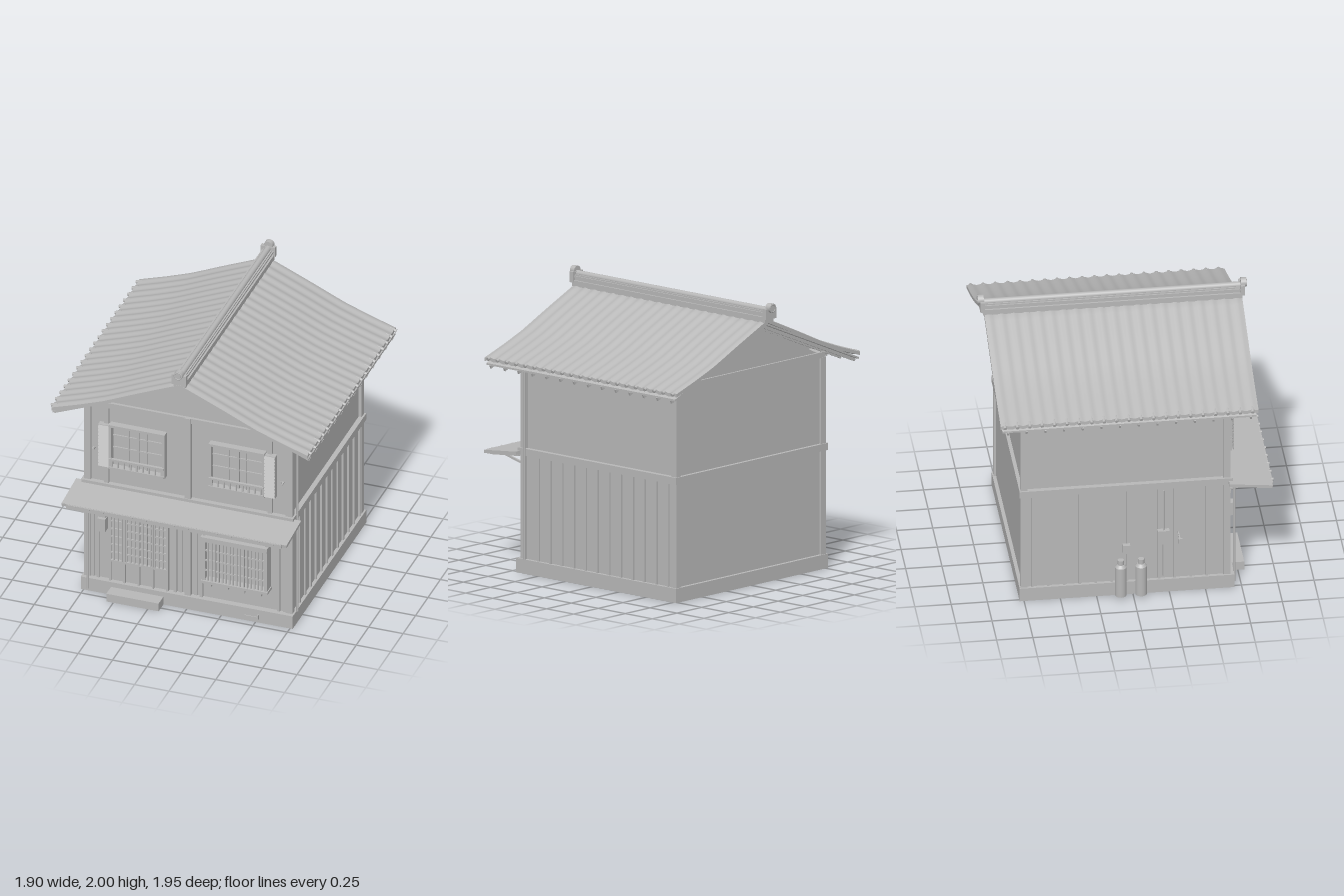
import * as THREE from 'three';

export function createModel() {
  const house = new THREE.Group();
  house.name = 'townhouse';
  const mat = new THREE.MeshStandardMaterial({ color: 0xb8b8b8 });
  mat.name = 'plain grey';

  const add = (name, geo, x = 0, y = 0, z = 0, parent = house) => {
    const m = new THREE.Mesh(geo, mat);
    m.name = name;
    m.position.set(x, y, z);
    parent.add(m);
    return m;
  };
  // box given by its limits on each axis
  const box = (name, x0, x1, y0, y1, z0, z1, parent) => add(name,
    new THREE.BoxGeometry(x1 - x0, y1 - y0, z1 - z0), (x0 + x1) / 2, (y0 + y1) / 2, (z0 + z1) / 2, parent);
  const cyl = (name, r, h, x, y, z, sides = 16, rTop = r) =>
    add(name, new THREE.CylinderGeometry(rTop, r, h, sides), x, y, z);
  // square bar between two points that share the same x or the same z
  const bar = (name, a, b, w, h) => {
    const p = new THREE.Vector3(...a), q = new THREE.Vector3(...b);
    const m = add(name, new THREE.BoxGeometry(w, h, p.distanceTo(q)));
    m.position.copy(p).add(q).multiplyScalar(0.5);
    m.lookAt(q);
    return m;
  };

  // Foundation and walls
  box('foundation', -0.77, 0.77, 0, 0.1, -0.78, 0.7);
  box('walls', -0.735, 0.735, 0.1, 1.5, -0.755, 0.655);
  const gable = new THREE.Shape([[-0.735, 1.49], [0.735, 1.49], [0, 1.835]].map(p => new THREE.Vector2(...p)));
  add('gableWalls', new THREE.ExtrudeGeometry(gable, { depth: 1.41, bevelEnabled: false }), 0, 0, -0.755);

  // Timber frame
  box('beltBeam', -0.77, 0.77, 0.825, 0.875, -0.78, 0.69);
  box('topBeam', -0.757, 0.757, 1.475, 1.515, -0.77, 0.675);
  for (const s of [-1, 1]) {
    for (const z of [-0.748, 0.648]) box('cornerPost', s * 0.733 - 0.024, s * 0.733 + 0.024, 0.1, 1.48, z - 0.024, z + 0.024);
    box('upperPost', s * 0.593 - 0.016, s * 0.593 + 0.016, 0.875, 1.48, 0.65, 0.675);
    box('lowerPost', s * 0.655 - 0.01, s * 0.655 + 0.01, 0.1, 0.825, 0.65, 0.67);
    box('doorPost', s * 0.095 - 0.01, s * 0.095 + 0.01, 0.1, 0.825, 0.65, 0.675);
    // board and batten cladding on the sides
    box('sideCladding', s * 0.74 - 0.005, s * 0.74 + 0.005, 0.1, 0.825, -0.73, 0.63);
    for (let i = 0; i < 12; i++) {
      const z = -0.69 + i * 0.109;
      box('batten', s * 0.75 - 0.008, s * 0.75 + 0.008, 0.1, 0.825, z - 0.008, z + 0.008);
    }
  }
  box('centrePost', -0.022, 0.022, 0.1, 1.515, 0.65, 0.685);

  // Main roof: concave slopes with rolled tiles
  const profile = [[0, 1.887], [0.33, 1.744], [0.54, 1.648], [0.725, 1.58], [0.94, 1.51]];
  const roofY = x => {
    const i = Math.max(1, profile.findIndex(p => p[0] >= x));
    const [a, b] = [profile[i - 1], profile[i]];
    return a[1] + (b[1] - a[1]) * (x - a[0]) / (b[0] - a[0]);
  };
  const pitch = 0.0853, zFirst = -0.902;
  const tiles = new THREE.BoxGeometry(1.86, 0.024, 1.777, 20, 1, 126);
  tiles.translate(0, 0, -0.0425);
  const pos = tiles.attributes.position;
  for (let i = 0; i < pos.count; i++) {
    const wave = 0.005 * Math.cos((pos.getZ(i) - zFirst) / pitch * Math.PI * 2);
    pos.setY(i, roofY(Math.abs(pos.getX(i))) + pos.getY(i) - 0.014 + wave);
  }
  tiles.computeVertexNormals();
  add('roofTiles', tiles);
  const deck = new THREE.Shape([[0, 1.855], [-0.93, 1.47], [-0.93, 1.457], [0, 1.84], [0.93, 1.457], [0.93, 1.47]]
    .map(p => new THREE.Vector2(...p)));
  add('roofDeck', new THREE.ExtrudeGeometry(deck, { depth: 1.75, bevelEnabled: false }), 0, 0, -0.92);
  for (const s of [-1, 1]) {
    for (let i = 0; i < 21; i++) {
      const cap = cyl('eaveTileEnd', 0.012, 0.05, s * 0.922, 1.508, zFirst + i * pitch, 10);
      cap.rotation.z = s * (Math.PI / 2 - 0.32);
    }
    for (let i = 0; i < 14; i++) {
      const z = 0.793 - i * 0.1287;
      bar('rafter', [s * 0.93, 1.447, z], [0, 1.828, z], 0.013, 0.024);
    }
  }

  // Ridge with end ornaments
  box('ridgeBase', -0.045, 0.045, 1.865, 1.905, -0.94, 0.845);
  box('ridgeCourse', -0.032, 0.032, 1.9, 1.945, -0.94, 0.845);
  box('ridgeLip', -0.042, 0.042, 1.925, 1.936, -0.94, 0.845);
  cyl('ridgeRoll', 0.022, 1.8, 0, 1.948, -0.0475).rotation.x = Math.PI / 2;
  for (const [z, s] of [[0.848, 1], [-0.943, -1]]) {
    box('ridgeEnd', -0.053, 0.053, 1.89, 1.965, z - 0.016, z + 0.016);
    cyl('ridgeDisc', 0.033, 0.04, 0, 1.967, z + s * 0.01, 20).rotation.x = Math.PI / 2;
    const ring = add('ridgeDiscRim', new THREE.TorusGeometry(0.026, 0.005, 8, 20), 0, 1.967, z + s * 0.03);
    ring.scale.z = 0.5;
  }

  // Front canopy with tile rolls and struts
  bar('canopyRoof', [0, 0.845, 0.66], [0, 0.815, 0.955], 1.635, 0.022);
  bar('canopyTrim', [0, 0.825, 0.67], [0, 0.8, 0.935], 1.56, 0.014);
  box('canopyEdge', -0.78, 0.78, 0.795, 0.825, 0.945, 0.965);
  for (let i = 0; i < 15; i++) {
    const x = (i - 7) * 0.103;
    cyl('canopyTileEnd', 0.01, 0.04, x, 0.817, 0.953, 10).rotation.x = Math.PI / 2;
  }
  for (const x of [-0.67, -0.22, 0.22, 0.67]) {
    bar('canopyStrut', [x, 0.73, 0.67], [x, 0.797, 0.95], 0.016, 0.014);
    bar('canopyArm', [x, 0.81, 0.66], [x, 0.79, 0.955], 0.016, 0.016);
  }

  // Upper windows with railing and louvred shutter, mirrored
  const frame = (x0, x1, y0, y1, z0, z1, t) => {
    box('frameTop', x0, x1, y1 - t, y1, z0, z1);
    box('frameBottom', x0, x1, y0, y0 + t, z0, z1);
    box('frameSide', x0, x0 + t, y0, y1, z0, z1);
    box('frameSide', x1 - t, x1, y0, y1, z0, z1);
  };
  for (const s of [-1, 1]) {
    const cx = s * 0.362;
    box('windowPane', cx - 0.195, cx + 0.195, 1.02, 1.35, 0.65, 0.662);
    frame(cx - 0.203, cx + 0.203, 1.01, 1.36, 0.65, 0.705, 0.018);
    for (const dx of [-0.07, 0.06]) box('windowBar', cx + dx - 0.004, cx + dx + 0.004, 1.02, 1.35, 0.66, 0.672);
    box('windowMeetingBar', cx - 0.01, cx + 0.01, 1.02, 1.35, 0.66, 0.677);
    for (const y of [1.17, 1.265]) box('windowCrossBar', cx - 0.195, cx + 0.195, y - 0.004, y + 0.004, 0.66, 0.672);
    box('railing', cx - 0.2, cx + 0.2, 1.082, 1.096, 0.695, 0.715);
    box('railingFoot', cx - 0.2, cx + 0.2, 1.018, 1.03, 0.695, 0.715);
    for (let i = 0; i < 9; i++) {
      const x = cx + (i - 4) * 0.045;
      box('baluster', x - 0.005, x + 0.005, 1.02, 1.09, 0.7, 0.71);
    }
    box('shutter', s * 0.603 - 0.04, s * 0.603 + 0.04, 1.02, 1.35, 0.66, 0.7);
    for (let i = 0; i < 12; i++) {
      const slat = add('shutterSlat', new THREE.BoxGeometry(0.076, 0.026, 0.006), s * 0.603, 1.035 + i * 0.0272, 0.705);
      slat.rotation.x = -0.45;
    }
    box('wallHook', s * 0.685 - 0.009, s * 0.685 + 0.009, 1.13, 1.138, 0.65, 0.69);
    box('wallHookTip', s * 0.679 - 0.003, s * 0.679 + 0.003, 1.13, 1.155, 0.682, 0.69);
  }

  // Lattice of upright and cross bars
  const lattice = (x0, x1, y0, y1, z, count, rows) => {
    for (let i = 0; i <= count; i++) {
      const x = x0 + (x1 - x0) * i / count;
      box('latticeUpright', x - 0.005, x + 0.005, y0, y1, z - 0.006, z + 0.006);
    }
    for (let j = 1; j <= rows; j++) {
      const y = y0 + (y1 - y0) * j / (rows + 1);
      box('latticeRail', x0, x1, y - 0.005, y + 0.005, z - 0.01, z + 0.002);
    }
  };

  // Sliding entrance doors and step
  box('doorPanel', -0.57, -0.145, 0.1, 0.64, 0.65, 0.664);
  box('doorLintel', -0.58, -0.138, 0.637, 0.657, 0.65, 0.7);
  lattice(-0.565, -0.15, 0.265, 0.64, 0.678, 14, 5);
  box('doorMidRail', -0.57, -0.145, 0.255, 0.27, 0.655, 0.685);
  for (let i = 0; i <= 4; i++) {
    const x = -0.565 + i * 0.104;
    box('doorStile', x - 0.007, x + 0.007, 0.1, 0.64, 0.655, 0.684);
  }
  box('doorStep', -0.55, -0.17, 0, 0.062, 0.69, 0.795);

  // Latticed bay window
  box('bayPane', 0.135, 0.585, 0.27, 0.61, 0.65, 0.675);
  box('baySideWall', 0.125, 0.14, 0.26, 0.61, 0.65, 0.735);
  box('baySideWall', 0.58, 0.595, 0.26, 0.61, 0.65, 0.735);
  box('bayRoof', 0.118, 0.602, 0.608, 0.632, 0.65, 0.752);
  box('bayBoard', 0.125, 0.595, 0.632, 0.65, 0.65, 0.68);
  box('bayTopRail', 0.125, 0.595, 0.59, 0.608, 0.72, 0.742);
  box('baySill', 0.118, 0.602, 0.26, 0.28, 0.65, 0.745);
  lattice(0.14, 0.58, 0.28, 0.595, 0.728, 17, 3);
  for (const x of [0.18, 0.302, 0.424, 0.545]) box('bayBracket', x - 0.007, x + 0.007, 0.23, 0.262, 0.65, 0.73);

  // Wall planks, lamp, pipes and vent on the front
  for (const x of [-0.06, 0.05, 0.7, -0.7]) box('wallPlank', x - 0.012, x + 0.012, 0.1, 0.82, 0.65, 0.664);
  box('lamp', -0.645, -0.588, 0.5, 0.6, 0.66, 0.715);
  box('lampBack', -0.64, -0.593, 0.6, 0.64, 0.655, 0.69);
  cyl('frontPipe', 0.009, 0.78, -0.718, 0.41, 0.705, 10);
  cyl('downpipe', 0.008, 1.4, 0.775, 0.8, 0.62, 10);
  box('vent', 0.42, 0.525, 0.035, 0.043, 0.7, 0.706);
  box('ventTap', 0.515, 0.525, 0.03, 0.065, 0.7, 0.715);

  // Gas bottles and meter on the left-hand wall
  for (const z of [-0.09, 0.05]) {
    cyl('gasBottle', 0.04, 0.225, -0.82, 0.1425, z, 20);
    cyl('gasShoulder', 0.04, 0.02, -0.82, 0.265, z, 20, 0.025);
    cyl('gasValve', 0.022, 0.035, -0.82, 0.292, z, 12);
  }
  box('gasRegulator', -0.79, -0.757, 0.335, 0.4, -0.07, -0.02);
  box('meter', -0.795, -0.757, 0.395, 0.5, 0.17, 0.25);
  cyl('meterPipe', 0.005, 0.32, -0.778, 0.655, 0.21, 8);
  cyl('gasPipe', 0.005, 0.28, -0.77, 0.27, 0.21, 8);
  box('wallTap', -0.875, -0.86, 0.44, 0.478, 0.3, 0.33);
  box('wallTapArm', -0.865, -0.75, 0.455, 0.463, 0.311, 0.319);

  return house;
}
